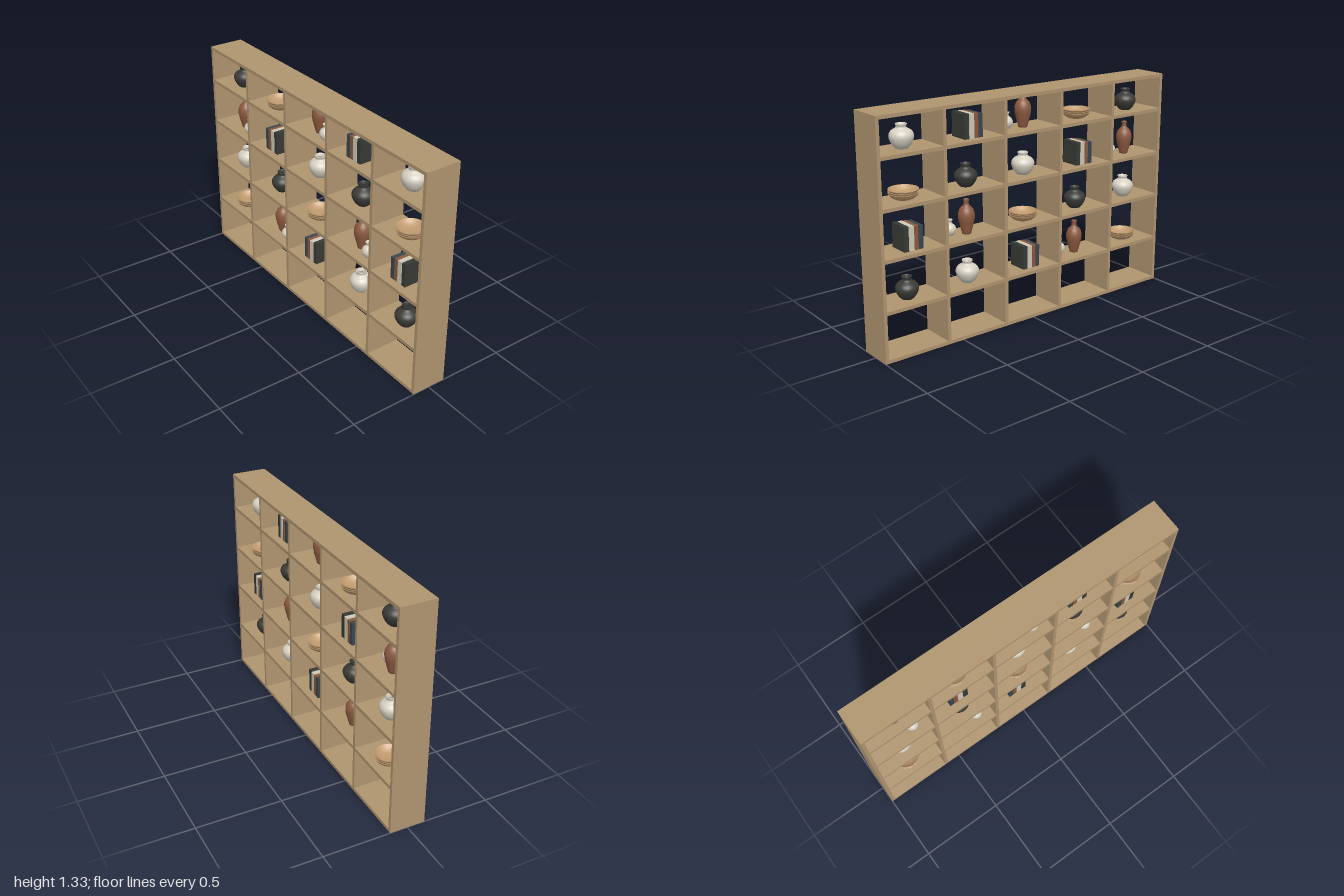
import * as THREE from 'three';

const mat = (name, color, side = THREE.FrontSide) => {
  const m = new THREE.MeshStandardMaterial({ color, side });
  m.name = name;
  return m;
};

export function createModel() {
  const wood = mat('oak wood', 0xb09570);
  const bowlWood = mat('bowl wood', 0xc09a6e, THREE.DoubleSide);
  const black = mat('black ceramic', 0x3a3b36, THREE.DoubleSide);
  const cream = mat('cream ceramic', 0xd6d1c2, THREE.DoubleSide);
  const clay = mat('terracotta', 0x8c5a40, THREE.DoubleSide);
  const slate = mat('slate cover', 0x3a464f);
  const brown = mat('brown cover', 0x8a5a3e);
  const pale = mat('pale cover', 0xcfc9b8);
  const charcoal = mat('charcoal cover', 0x383a35);

  const W = 2, H = 1.333, D = 0.21, T = 0.02;
  const pitch = (W - T) / 5;
  const shelfTops = [0.02, 0.293, 0.577, 0.85, 1.123, H];
  const model = new THREE.Group();
  model.name = 'shelvingUnit';

  const add = (parent, name, geometry, material, x = 0, y = 0, z = 0) => {
    const mesh = new THREE.Mesh(geometry, material);
    mesh.name = name;
    mesh.position.set(x, y, z);
    parent.add(mesh);
    return mesh;
  };

  // Frame: full-width top and base, uprights between, one shelf per bay
  const frame = new THREE.Group();
  frame.name = 'frame';
  model.add(frame);
  const board = new THREE.BoxGeometry(W, T, D);
  add(frame, 'baseBoard', board, wood, 0, T / 2);
  add(frame, 'topBoard', board, wood, 0, H - T / 2);
  const upright = new THREE.BoxGeometry(T, H - 2 * T, D);
  for (let i = 0; i <= 5; i++) add(frame, 'upright', upright, wood, (i - 2.5) * pitch, H / 2);
  const bayShelf = new THREE.BoxGeometry(pitch - T, T, D);
  for (let r = 1; r <= 4; r++)
    for (let c = 0; c < 5; c++) add(frame, 'shelf', bayShelf, wood, (c - 2) * pitch, shelfTops[r] - T / 2);

  // Turned pieces: smooth profile through [radius, height] points
  const turned = (points, steps = 28) => {
    const curve = new THREE.SplineCurve(points.map(([x, y]) => new THREE.Vector2(x, y)));
    const profile = curve.getPoints(steps).map((p) => new THREE.Vector2(Math.max(p.x, 0), p.y));
    return new THREE.LatheGeometry([new THREE.Vector2(0, 0), ...profile], 32);
  };
  const blackPotGeo = turned([[0.033, 0], [0.052, 0.023], [0.065, 0.058], [0.055, 0.084],
    [0.03, 0.102], [0.025, 0.113], [0.029, 0.126], [0.024, 0.126], [0.019, 0.108]]);
  const creamPotGeo = turned([[0.034, 0], [0.054, 0.025], [0.066, 0.062], [0.056, 0.089],
    [0.032, 0.105], [0.027, 0.114], [0.031, 0.127], [0.026, 0.127], [0.02, 0.11]]);
  const tallVaseGeo = turned([[0.025, 0], [0.034, 0.035], [0.045, 0.08], [0.047, 0.112], [0.037, 0.142],
    [0.018, 0.162], [0.014, 0.178], [0.017, 0.195], [0.013, 0.195], [0.01, 0.175]]);
  const smallVaseGeo = turned([[0.02, 0], [0.031, 0.016], [0.036, 0.035], [0.029, 0.055],
    [0.014, 0.068], [0.012, 0.078], [0.017, 0.09], [0.013, 0.09], [0.009, 0.074]]);
  const bowlGeo = new THREE.LatheGeometry([[0, 0], [0.04, 0], [0.058, 0.008], [0.072, 0.019], [0.082, 0.034],
    [0.082, 0.036], [0.078, 0.036], [0.068, 0.022], [0.054, 0.012], [0.038, 0.005], [0, 0.004]]
    .map(([x, y]) => new THREE.Vector2(x, y)), 32);

  // Books standing side by side: material, width, height
  const books = [[slate, 0.026, 0.13], [brown, 0.023, 0.133], [pale, 0.031, 0.135], [charcoal, 0.028, 0.138]];

  const fill = {
    blackPot: (g) => add(g, 'blackPot', blackPotGeo, black),
    creamPot: (g) => add(g, 'creamPot', creamPotGeo, cream),
    bowls: (g) => {
      for (let i = 0; i < 3; i++) add(g, 'bowl', bowlGeo, bowlWood, 0, i * 0.01, 0);
    },
    vases: (g) => {
      add(g, 'tallVase', tallVaseGeo, clay);
      add(g, 'smallVase', smallVaseGeo, cream, 0.092, 0, 0.03);
    },
    books: (g) => {
      let x = -0.075;
      for (const [material, w, h] of books) {
        add(g, 'book', new THREE.BoxGeometry(w, h, 0.12), material, x + w / 2, h / 2, 0);
        x += w + 0.003;
      }
    },
  };

  // Contents of each row, lowest filled row first
  const rows = [
    ['bowls', 'vases', 'books', 'creamPot', 'blackPot'],
    ['creamPot', 'blackPot', 'bowls', 'vases', 'books'],
    ['vases', 'books', 'creamPot', 'blackPot', 'bowls'],
    ['blackPot', 'bowls', 'vases', 'books', 'creamPot'],
  ];
  rows.forEach((row, r) => row.forEach((kind, c) => {
    const g = new THREE.Group();
    g.name = kind + 'Display';
    g.position.set((c - 2) * pitch, shelfTops[r + 1], 0);
    fill[kind](g);
    model.add(g);
  }));

  return model;
}
